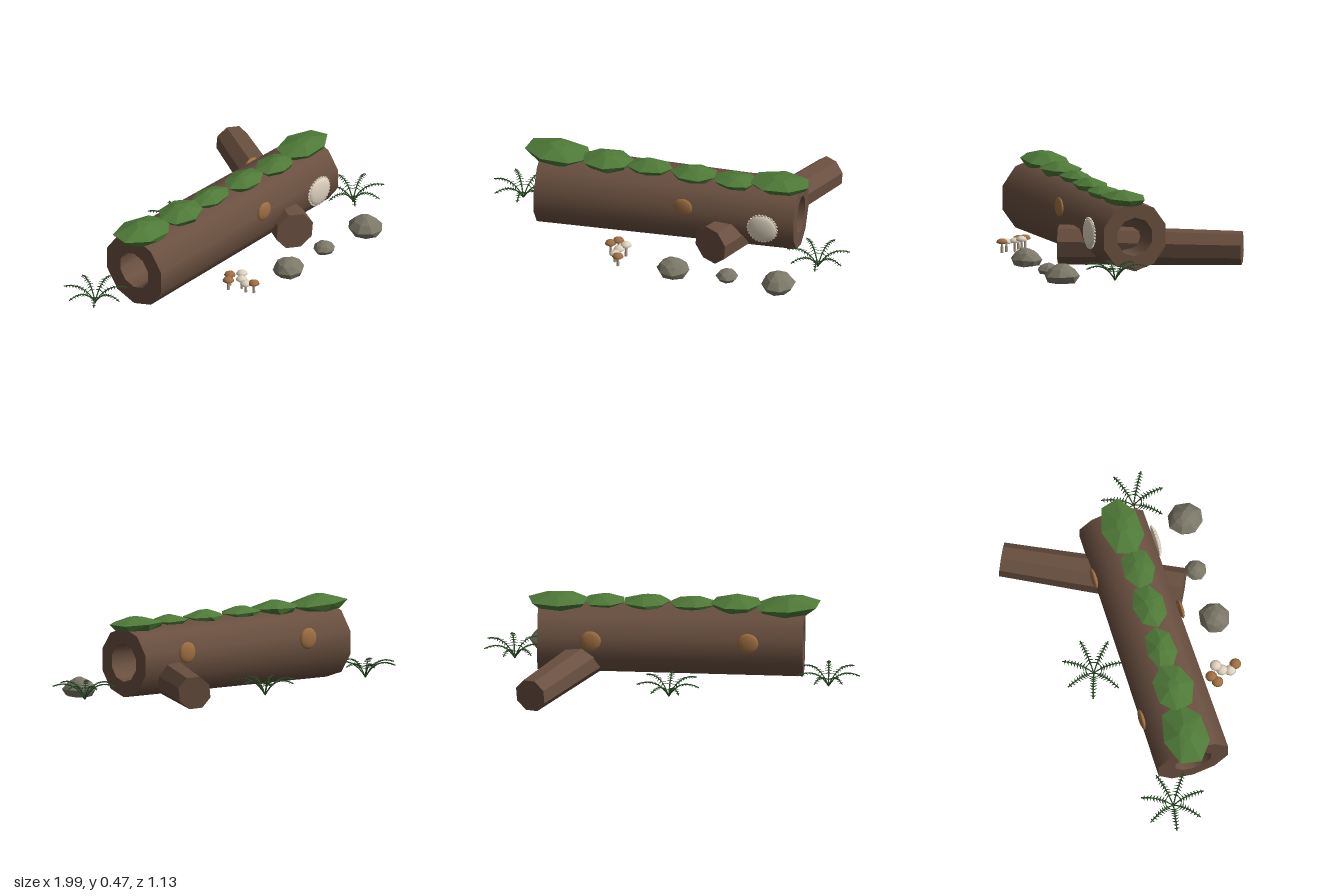
import * as THREE from 'three';
import { mergeGeometries, mergeVertices } from 'three/addons/utils/BufferGeometryUtils.js';
import { ConvexGeometry } from 'three/addons/geometries/ConvexGeometry.js';

const material = (name, color, extra = {}) => {
  const m = new THREE.MeshStandardMaterial({ color, ...extra });
  m.name = name;
  return m;
};

// Small seeded generator for the irregular stones and moss
function seeded(seed) {
  let s = seed * 7919 + 17;
  return () => (s = (s * 16807) % 2147483647) / 2147483647;
}

export function createModel() {
  const root = new THREE.Group();
  root.name = 'fallenLog';
  const bark = material('bark brown', 0x6a5040);
  const barkFlat = material('cut bark brown', 0x6a5040, { flatShading: true });
  const moss = material('moss green', 0x4f7a38, { flatShading: true });
  const fernGreen = material('fern green', 0x2f4f2a, { side: THREE.DoubleSide });
  const stone = material('stone grey', 0x7c7868, { flatShading: true });
  const cream = material('cream', 0xe0d4c0);
  const tan = material('tan', 0xa07044);
  const stemColor = material('mushroom stem', 0xb8a68e);

  const add = (name, geometry, mat, position = [0, 0, 0], parent = root) => {
    const mesh = new THREE.Mesh(geometry, mat);
    mesh.name = name;
    mesh.position.set(...position);
    parent.add(mesh);
    return mesh;
  };

  // Hollow tapered trunk, lying along x
  const trunk = new THREE.Group();
  trunk.name = 'trunk';
  trunk.position.set(0, 0.232, 0.07);
  trunk.rotation.z = -Math.PI / 2;
  root.add(trunk);
  const phase = Math.PI / 2;
  add('trunkOuter', new THREE.CylinderGeometry(0.184, 0.202, 1.4, 10, 1, true, phase), bark, [0, 0, 0], trunk);
  const hollow = new THREE.CylinderGeometry(0.103, 0.103, 1.4, 10, 1, true, phase);
  hollow.scale(-1, 1, 1); // mirrored so the faces point inwards
  const index = hollow.index;
  for (let i = 0; i < index.count; i += 3) {
    const a = index.getX(i);
    index.setX(i, index.getX(i + 1));
    index.setX(i + 1, a);
  }
  // reverse both winding and normals to face the axis
  hollow.computeVertexNormals();
  const probe = new THREE.Vector3().fromBufferAttribute(hollow.attributes.normal, 2);
  const where = new THREE.Vector3().fromBufferAttribute(hollow.attributes.position, 2).setY(0);
  if (probe.dot(where) > 0) {
    index.array.reverse();
    hollow.computeVertexNormals();
  }
  add('trunkHollow', hollow, bark, [0, 0, 0], trunk);
  for (const [end, radius] of [[1, 0.184], [-1, 0.202]]) {
    const ring = new THREE.RingGeometry(0.103, radius, 10, 1);
    ring.rotateX(-end * Math.PI / 2);
    add('trunkEnd', ring, barkFlat, [0, end * 0.7, 0], trunk);
  }

  // Side branch crossing under the trunk
  const from = new THREE.Vector3(0.27, 0.14, 0.33);
  const to = new THREE.Vector3(0.72, 0.138, -0.53);
  const along = to.clone().sub(from);
  const branch = add('branch', new THREE.CylinderGeometry(0.09, 0.107, along.length(), 8), barkFlat);
  branch.position.copy(from).add(to).multiplyScalar(0.5);
  branch.quaternion.setFromUnitVectors(new THREE.Vector3(0, 1, 0), along.normalize());

  // Faceted lump: a hull of uneven rings, [height, radius] as fractions
  const lump = (seed, size, levels, sides = 7) => {
    const random = seeded(seed);
    const points = [];
    for (const [y, r] of levels) {
      const turn = random() * 2;
      for (let i = 0; i < sides; i++) {
        const a = turn + (i / sides) * Math.PI * 2;
        const k = r * (0.92 + random() * 0.12);
        points.push(new THREE.Vector3(Math.cos(a) * k * size[0], (y + random() * 0.08) * size[1], Math.sin(a) * k * size[2]));
      }
    }
    return new ConvexGeometry(points);
  };

  // Moss cushions along the top: x, z, half length, height, half depth
  [[-0.62, 0.055, 0.18, 0.082, 0.125], [-0.345, 0.075, 0.14, 0.072, 0.108],
    [-0.115, 0.08, 0.125, 0.062, 0.08], [0.13, 0.095, 0.125, 0.062, 0.092],
    [0.355, 0.11, 0.12, 0.055, 0.088], [0.595, 0.095, 0.165, 0.068, 0.11]]
    .forEach(([x, z, w, h, d], i) => {
      const geometry = lump(i + 3, [w, h, d], [[0, 0.8], [0.5, 1.02], [0.95, 0.28]]);
      const patch = add('mossPatch', geometry, moss, [x, 0.395, z]);
      patch.rotation.z = i === 0 ? -0.06 : 0;
    });

  // Stones in front: x, z, half width, height, half depth
  [[0.095, 0.445, 0.092, 0.09, 0.083], [0.385, 0.435, 0.058, 0.058, 0.058],
    [0.67, 0.47, 0.088, 0.1, 0.095]].forEach(([x, z, w, h, d], i) => {
    add('stone', lump(i + 21, [w, h, d], [[0, 0.82], [0.35, 1.02], [0.72, 0.7], [0.95, 0.25]], 8), stone, [x, 0.008, z]);
  });

  // Bracket fungi and pale tuft: flattened domes on the trunk sides
  const disc = (name, x, y, z, r, depth, mat, segments) => {
    const geometry = new THREE.SphereGeometry(r, segments, 8);
    geometry.scale(1, 1, depth / r);
    return add(name, geometry, mat, [x, y, z]);
  };
  disc('bracketFungus', 0.105, 0.31, 0.262, 0.052, 0.014, tan, 10);
  disc('bracketFungus', -0.41, 0.28, -0.122, 0.057, 0.016, tan, 10);
  disc('bracketFungus', 0.42, 0.28, -0.117, 0.057, 0.016, tan, 10);
  const tuft = new THREE.Shape();
  for (let i = 0; i < 56; i++) {
    const a = (i / 56) * Math.PI * 2;
    const r = i % 2 ? 0.077 : 0.085;
    tuft[i ? 'lineTo' : 'moveTo'](Math.cos(a) * r, Math.sin(a) * r);
  }
  add('paleTuftFringe', new THREE.ExtrudeGeometry(tuft, { depth: 0.008, bevelEnabled: false }), cream, [0.535, 0.238, 0.258]);
  disc('paleTuft', 0.535, 0.238, 0.264, 0.077, 0.018, cream, 20);

  // Mushroom cluster: x, z, height, cap colour
  [[-0.265, 0.345, 0.092, tan], [-0.228, 0.322, 0.1, tan], [-0.178, 0.362, 0.102, cream],
    [-0.208, 0.388, 0.09, cream], [-0.222, 0.43, 0.085, cream], [-0.198, 0.465, 0.092, tan]]
    .forEach(([x, z, h, capColor]) => {
      const mushroom = new THREE.Group();
      mushroom.name = 'mushroom';
      mushroom.position.set(x, 0.03, z);
      root.add(mushroom);
      add('stem', new THREE.CylinderGeometry(0.006, 0.008, h - 0.035, 7), stemColor, [0, (h - 0.035) / 2, 0], mushroom);
      const cap = new THREE.LatheGeometry([[0, -0.002], [0.024, -0.003], [0.031, 0.002], [0.025, 0.013],
        [0.013, 0.02], [0, 0.022]].map(([r, y]) => new THREE.Vector2(r, y)), 10);
      add('cap', cap, capColor, [0, h - 0.038, 0], mushroom);
    });

  // Ferns: arching fronds with paired leaflets
  const frond = () => {
    const curve = new THREE.QuadraticBezierCurve3(new THREE.Vector3(0, 0, 0),
      new THREE.Vector3(0.065, 0.115, 0), new THREE.Vector3(0.17, 0.072, 0));
    const parts = [new THREE.TubeGeometry(curve, 8, 0.0035, 4)];
    for (let i = 1; i <= 8; i++) {
      const p = curve.getPoint(0.22 + i * 0.09);
      const length = 0.031 - i * 0.0018;
      for (const side of [-1, 1]) {
        const leaf = new THREE.ConeGeometry(0.005, length, 4);
        leaf.translate(0, length / 2, 0);
        leaf.scale(1, 1, 0.6);
        leaf.rotateX(side * 1.75);
        leaf.rotateY(-side * 0.35);
        leaf.translate(p.x, p.y, p.z);
        parts.push(leaf);
      }
    }
    return mergeGeometries(parts);
  };
  const frondGeometry = frond();
  [[-0.835, -0.085, 0.25], [0, -0.255, 0.12], [0.83, 0.235, 0.35]].forEach(([x, z, turn]) => {
    const fern = new THREE.Group();
    fern.name = 'fern';
    fern.position.set(x, 0.032, z);
    root.add(fern);
    for (let i = 0; i < 7; i++) {
      add('frond', frondGeometry, fernGreen, [0, 0, 0], fern).rotation.y = turn + (i / 7) * Math.PI * 2;
    }
  });

  // Thin vine hanging inside the hollow
  const path = [[0.335, 0.062], [0.285, 0.115], [0.26, 0.095], [0.205, 0.052], [0.17, 0.07], [0.13, 0.075]]
    .map(([y, z]) => new THREE.Vector3(0, y, z));
  const vine = new THREE.CatmullRomCurve3(path);
  add('vine', new THREE.TubeGeometry(vine, 20, 0.004, 5), fernGreen);
  for (const [y, z] of [[0.28, 0.1], [0.172, 0.068]]) {
    const leaf = mergeVertices(new THREE.SphereGeometry(0.024, 8, 5));
    leaf.scale(0.8, 0.5, 1);
    add('vineLeaf', leaf, fernGreen, [0, y, z]);
  }
  return root;
}
